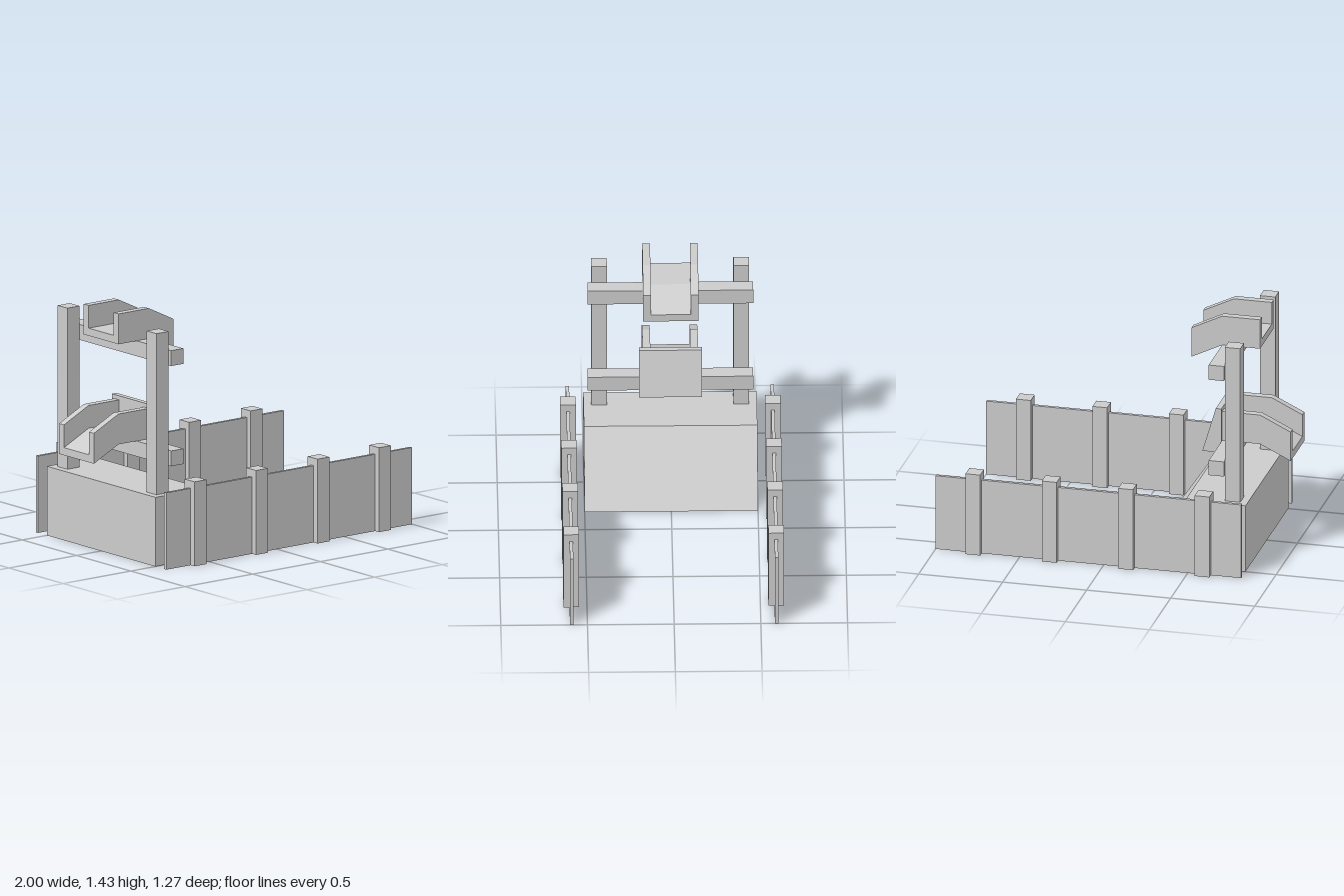
import * as THREE from 'three';

const material = new THREE.MeshStandardMaterial({ color: 0xcccccc, flatShading: true });

export function createModel() {
  const model = new THREE.Group();

  const add = (name, geometry, parent = model) => {
    const mesh = new THREE.Mesh(geometry, material);
    mesh.name = name;
    parent.add(mesh);
    return mesh;
  };

  // Box given by its min and max on each axis
  const box = (name, [x0, x1], [y0, y1], [z0, z1], parent) =>
    add(name, new THREE.BoxGeometry(x1 - x0, y1 - y0, z1 - z0), parent)
      .position.set((x0 + x1) / 2, (y0 + y1) / 2, (z0 + z1) / 2);

  // Side profile in x/y, extruded from z0 to z1
  const slab = (name, points, z0, z1, parent) => {
    const shape = new THREE.Shape(points.map(([x, y]) => new THREE.Vector2(x, y)));
    const geometry = new THREE.ExtrudeGeometry(shape, { depth: z1 - z0, bevelEnabled: false });
    add(name, geometry.translate(0, 0, z0), parent);
  };

  // U-shaped bent trough: follows the underside line of points
  const trough = (name, line) => {
    const group = new THREE.Group();
    group.name = name;
    const band = (height) => [...line, ...line.map(([x, y]) => [x, y + height]).reverse()];
    slab('troughFloor', band(0.045), -0.115, 0.115, group);
    slab('troughWallFront', band(0.18), 0.115, 0.16, group);
    slab('troughWallBack', band(0.18), -0.16, -0.115, group);
    model.add(group);
  };

  // Base with a sloping face
  slab('rampBase', [[-0.818, 0], [-0.185, 0], [-0.46, 0.41], [-0.818, 0.41]], -0.5, 0.5);

  // Frame: two uprights and two crossbeams
  for (const s of [-1, 1]) {
    const z = s * 0.41;
    box('upright', [-0.775, -0.684], [0.41, 1.365], [z - 0.045, z + 0.045]);
  }
  box('lowerCrossbeam', [-0.684, -0.593], [0.57, 0.661], [-0.478, 0.478]);
  box('upperCrossbeam', [-0.684, -0.593], [1.164, 1.255], [-0.478, 0.478]);

  // Troughs bend down in opposite directions
  trough('upperTrough', [[-0.818, 1.254], [-0.593, 1.254], [-0.41, 1.164]]);
  trough('lowerTrough', [[-1, 0.573], [-0.818, 0.661], [-0.593, 0.661]]);

  // Wedge closing the lower trough
  slab('wedgeStop', [[-0.593, 0.594], [-0.48, 0.594], [-0.56, 0.865], [-0.593, 0.865]], -0.182, 0.182);

  // Side fences with evenly spaced posts
  for (const s of [-1, 1]) {
    const fence = new THREE.Group();
    fence.name = s > 0 ? 'frontFence' : 'backFence';
    const z = s * 0.591;
    box('fencePanel', [-0.818, 1], [0, 0.455], [z - 0.01, z + 0.01], fence);
    for (let i = 0; i < 4; i++) {
      const x = -0.594 + i * 0.4547;
      box('fencePost', [x - 0.044, x + 0.044], [0, 0.5], [z - 0.045, z + 0.045], fence);
    }
    model.add(fence);
  }

  return model;
}
